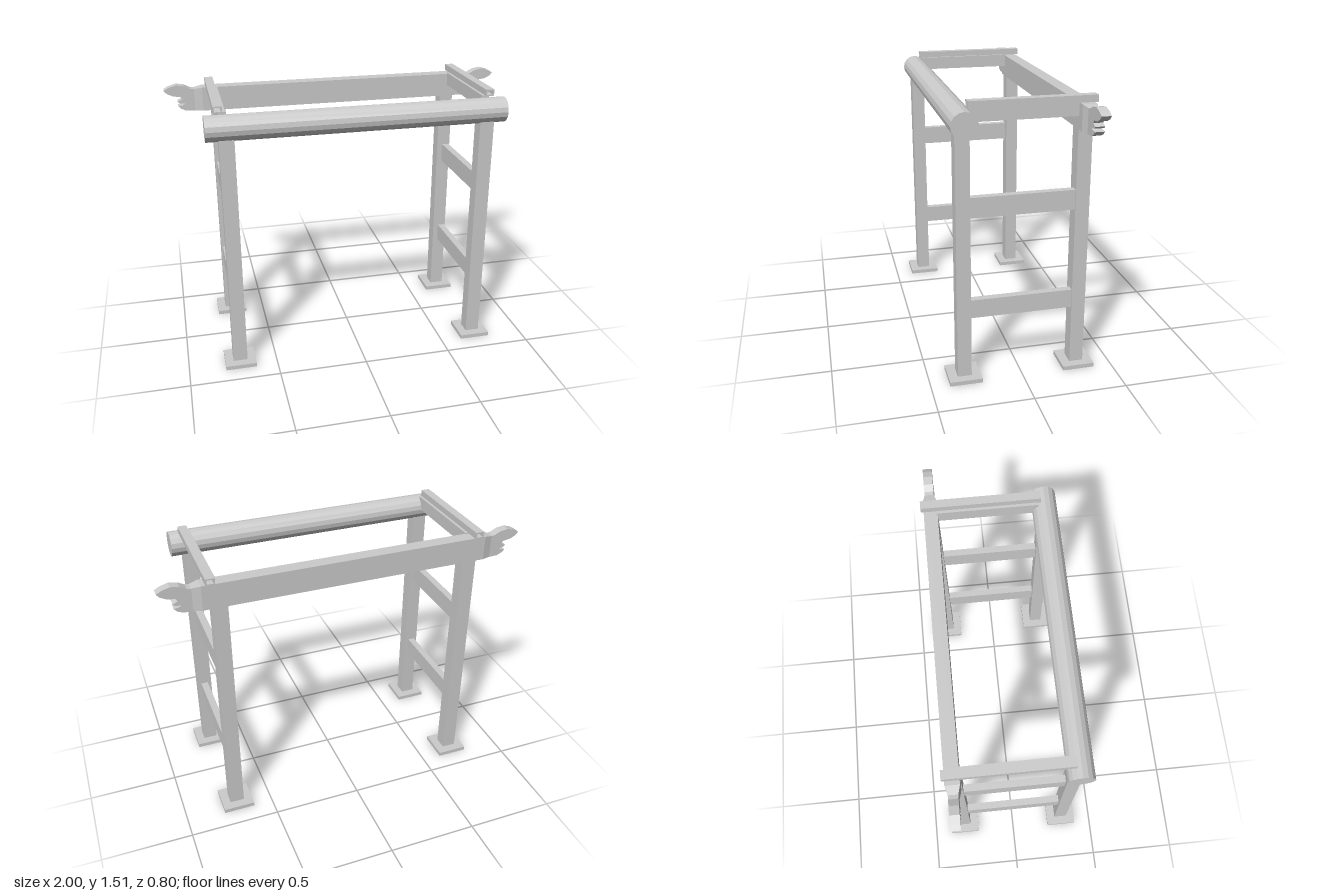
import * as THREE from 'three';

const material = new THREE.MeshStandardMaterial({ color: 0xcccccc, flatShading: true });

function add(parent, name, geometry) {
  const mesh = new THREE.Mesh(geometry, material);
  mesh.name = name;
  parent.add(mesh);
  return mesh;
}

// Box given by its limits on each axis
function block(parent, name, [x0, x1], [y0, y1], [z0, z1]) {
  const mesh = add(parent, name, new THREE.BoxGeometry(Math.abs(x1 - x0), y1 - y0, z1 - z0));
  mesh.position.set((x0 + x1) / 2, (y0 + y1) / 2, (z0 + z1) / 2);
  return mesh;
}

// Hollow square bar running along z
function hollowBar(parent, name, x, y, z0, z1, w, h, wall) {
  const rect = (target, a, b) => {
    target.moveTo(-a, -b);
    target.lineTo(a, -b);
    target.lineTo(a, b);
    target.lineTo(-a, b);
    target.closePath();
    return target;
  };
  const shape = rect(new THREE.Shape(), w / 2, h / 2);
  shape.holes.push(rect(new THREE.Path(), w / 2 - wall, h / 2 - wall));
  const mesh = add(parent, name, new THREE.ExtrudeGeometry(shape, { depth: z1 - z0, bevelEnabled: false }));
  mesh.position.set(x, y, z0);
}

// Carved beam end with an open mouth, pointing along +x
function headGeometry() {
  const outline = [
    [0.825, 1.335], [0.88, 1.337], [0.91, 1.35], [0.925, 1.367], [0.90, 1.37], [0.885, 1.379],
    [0.915, 1.382], [0.927, 1.393], [0.90, 1.405], [0.91, 1.42], [0.95, 1.425], [0.983, 1.441],
    [1.0, 1.46], [0.972, 1.476], [0.93, 1.488], [0.885, 1.481], [0.85, 1.463], [0.825, 1.46],
  ].map(([x, y]) => new THREE.Vector2(x, y));
  return new THREE.ExtrudeGeometry(new THREE.Shape(outline), { depth: 0.05, bevelEnabled: false })
    .translate(0, 0, -0.025);
}

// Short block narrowing from the beam to the carved end
function neckGeometry() {
  const geometry = new THREE.BoxGeometry(0.045, 0.135, 0.075);
  const p = geometry.attributes.position;
  for (let i = 0; i < p.count; i++) {
    if (p.getX(i) > 0) {
      p.setZ(i, p.getZ(i) * 0.67);
      if (p.getY(i) > 0) p.setY(i, p.getY(i) - 0.008);
    }
  }
  geometry.computeVertexNormals();
  return geometry.translate(0.8075, 1.4025, 0);
}

export function createModel() {
  const model = new THREE.Group();
  model.name = 'rackFrame';

  // Round front beam
  const log = add(model, 'roundFrontBeam', new THREE.CylinderGeometry(0.069, 0.069, 1.63, 16));
  log.rotation.z = Math.PI / 2;
  log.position.set(0, 1.403, 0.312);

  // Rear beam with carved ends
  block(model, 'rearBeam', [-0.785, 0.785], [1.335, 1.47], [-0.35, -0.275]);

  for (const side of [1, -1]) {
    const label = side > 0 ? 'left' : 'right';
    const frame = new THREE.Group();
    frame.name = label + 'Frame';
    model.add(frame);

    const end = new THREE.Group();
    end.name = label + 'CarvedEnd';
    end.position.z = -0.3125;
    end.rotation.y = side > 0 ? 0 : Math.PI;
    add(end, 'neck', neckGeometry());
    add(end, 'carvedHead', headGeometry());
    frame.add(end);

    // Posts and foot plates; the rear pair stands slightly closer in
    for (const [name, x, z, top] of [['front', 0.708, 0.3125, 1.36], ['rear', 0.698, -0.3125, 1.335]]) {
      const cx = side * x;
      block(frame, name + 'Post', [cx - 0.04, cx + 0.04], [0.02, top], [z - 0.0375, z + 0.0375]);
      block(frame, name + 'FootPlate', [cx - 0.0875, cx + 0.0875], [0, 0.023], [z - 0.0875, z + 0.0875]);
    }

    // Cross rails between the posts
    for (const [name, y0, y1] of [['lowerRail', 0.353, 0.455], ['middleRail', 0.91, 1.017]]) {
      block(frame, name, [side * 0.69, side * 0.73], [y0, y1], [-0.28, 0.28]);
    }
    block(frame, 'upperRail', [side * 0.7, side * 0.74], [1.402, 1.476], [-0.28, 0.275]);
    hollowBar(frame, 'topBar', side * 0.74, 1.492, -0.364, 0.288, 0.048, 0.036, 0.007);
  }
  return model;
}
